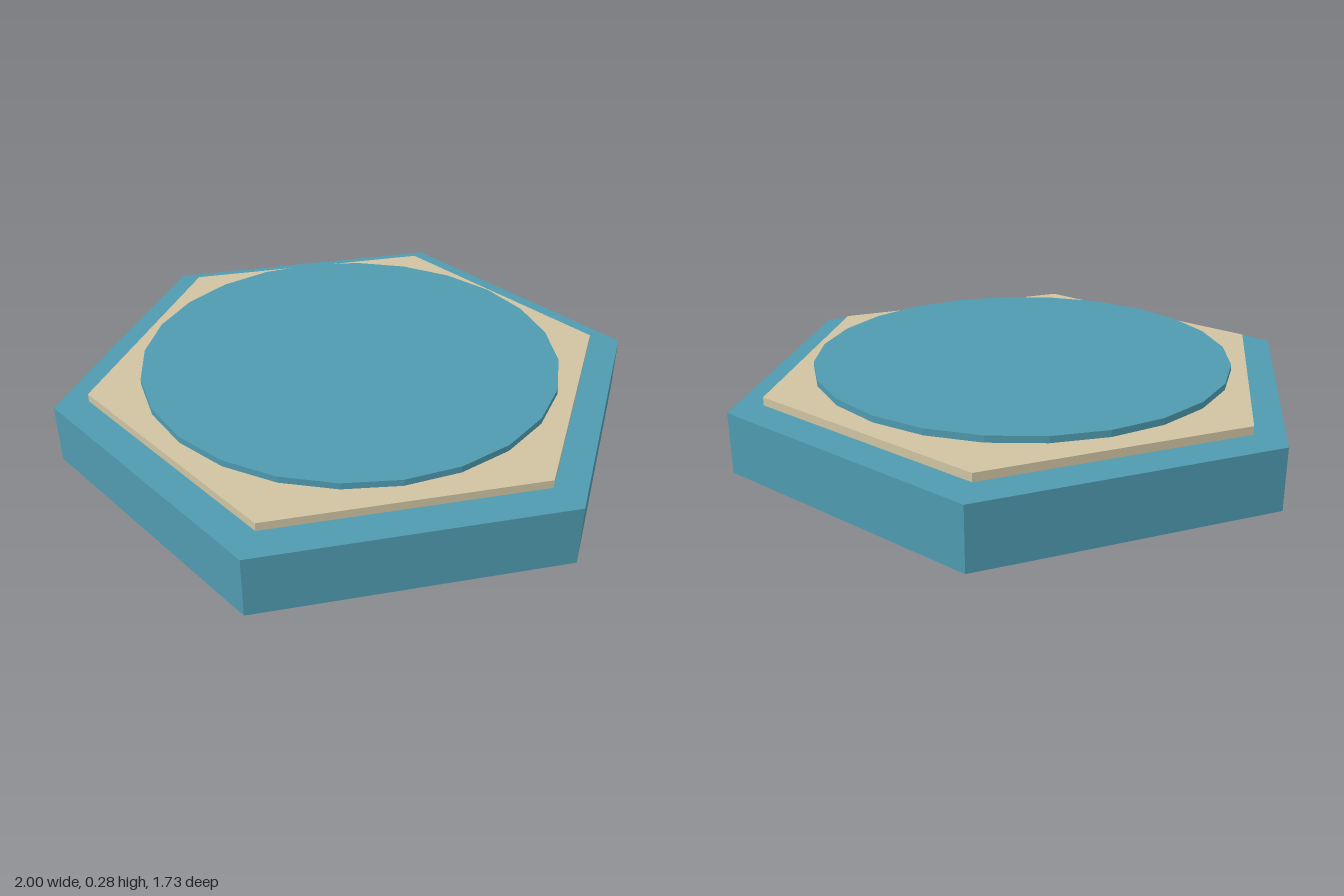
import * as THREE from 'three';

const teal = new THREE.MeshStandardMaterial({ color: 0x4f9ab0, flatShading: true });
const sand = new THREE.MeshStandardMaterial({ color: 0xcfc3a2, flatShading: true });

// Upright prism between two heights, with a corner on the x axis
function prism(name, radius, bottom, top, sides, material) {
  const geometry = new THREE.CylinderGeometry(radius, radius, top - bottom, sides);
  geometry.rotateY(Math.PI / 2);
  const mesh = new THREE.Mesh(geometry, material);
  mesh.name = name;
  mesh.position.y = (bottom + top) / 2;
  return mesh;
}

export function createModel() {
  const group = new THREE.Group();
  group.name = 'hexagonalTile';
  group.add(
    prism('base', 1, 0, 0.208, 6, teal),
    // The upper layers hover with a thin gap below each
    prism('hexagonPlate', 0.885, 0.217, 0.245, 6, sand),
    prism('topDisc', 0.71, 0.257, 0.279, 24, teal),
  );
  return group;
}
